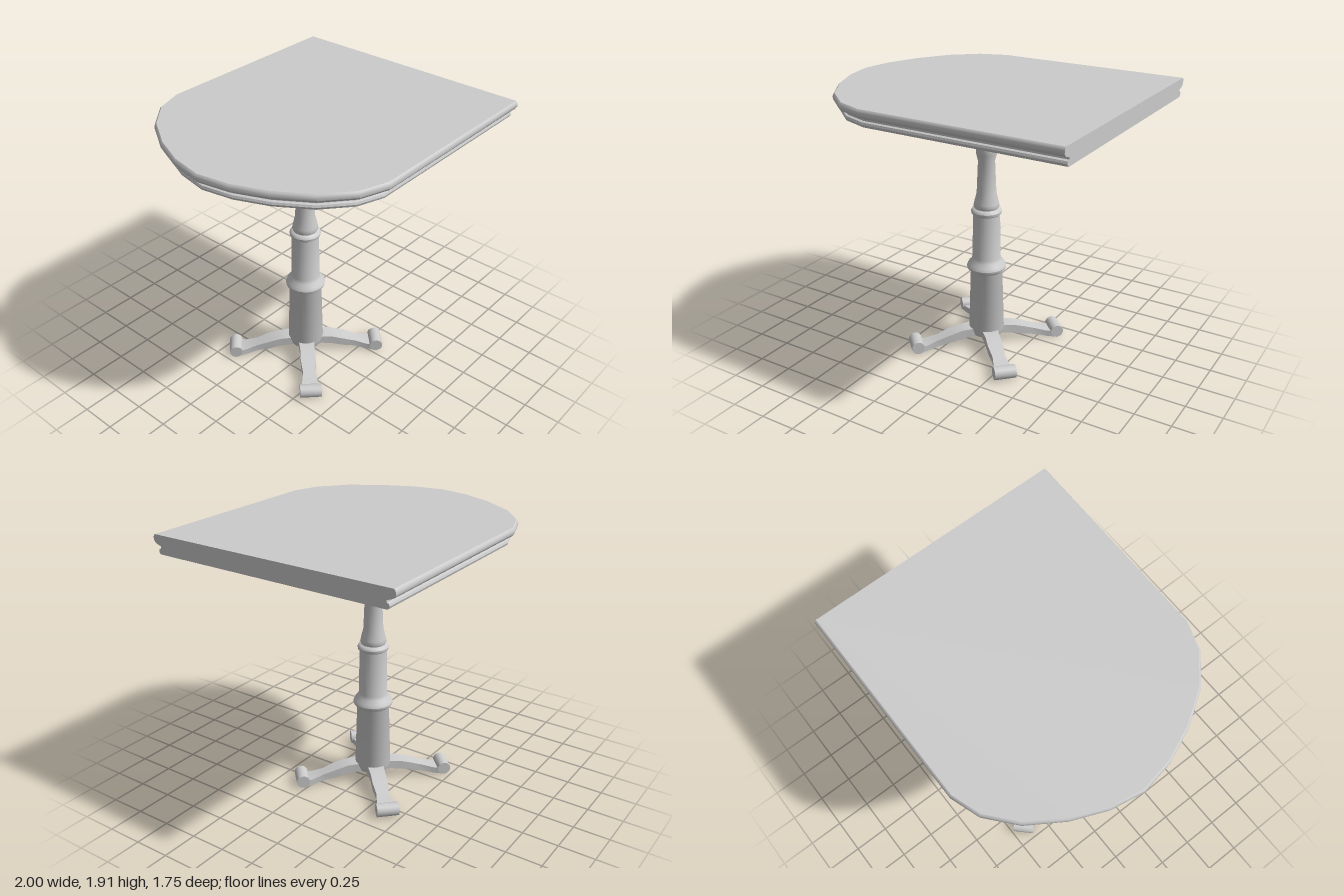
import * as THREE from 'three';
import { toCreasedNormals } from 'three/addons/utils/BufferGeometryUtils.js';

const material = new THREE.MeshStandardMaterial({ color: 0xcccccc });

function part(name, geometry, crease = 0.6) {
  const mesh = new THREE.Mesh(toCreasedNormals(geometry, crease), material);
  mesh.name = name;
  return mesh;
}

// Skin a stack of closed convex rings of [x, y, z] and cap both ends
function loft(rings) {
  const pos = [];
  const n = rings[0].length;
  const tri = (...corners) => corners.forEach((p) => pos.push(...p));
  for (let i = 0; i < rings.length - 1; i++) {
    for (let j = 0; j < n; j++) {
      const k = (j + 1) % n;
      tri(rings[i][j], rings[i][k], rings[i + 1][k]);
      tri(rings[i][j], rings[i + 1][k], rings[i + 1][j]);
    }
  }
  const first = rings[0], last = rings[rings.length - 1];
  for (let j = 1; j < n - 1; j++) {
    tri(first[0], first[j + 1], first[j]);
    tri(last[0], last[j], last[j + 1]);
  }
  const geometry = new THREE.BufferGeometry();
  geometry.setAttribute('position', new THREE.Float32BufferAttribute(pos, 3));
  return geometry;
}

// Slab with one rounded end and one square end, moulded along its rim
function tabletop() {
  const half = [[1, 0.875], [-0.36, 0.875], [-0.55, 0.81], [-0.73, 0.655], [-0.87, 0.437], [-0.96, 0.22]];
  const outline = [
    ...half.map(([x, z]) => [x, -z]),
    [-1, 0],
    ...half.slice().reverse(),
  ];
  // Inward direction at each outline point; the square end stays flush
  const inward = outline.map((p, i) => {
    if (i === 0) return [0, 1];
    if (i === outline.length - 1) return [0, -1];
    const a = outline[i - 1], b = outline[i + 1];
    const dx = b[0] - a[0], dz = b[1] - a[1], len = Math.hypot(dx, dz);
    return [dz / len, -dx / len];
  });
  // Rim moulding: [height, inset]
  const rim = [
    [1.79, 0.052], [1.796, 0.042], [1.81, 0.037], [1.823, 0.042], [1.829, 0.056],
    [1.843, 0.056], [1.85, 0.03], [1.86, 0.01], [1.875, 0], [1.893, 0], [1.905, 0.005], [1.912, 0.013],
  ];
  return loft(rim.map(([y, inset]) => outline.map(([x, z], i) =>
    [x + inward[i][0] * inset, y, z + inward[i][1] * inset])));
}

// Turned column: [radius, height]
function column() {
  const profile = [
    [0, 0.085], [0.11, 0.085], [0.126, 0.13], [0.112, 0.575], [0.12, 0.59], [0.135, 0.6], [0.138, 0.615],
    [0.128, 0.638], [0.108, 0.66], [0.099, 0.685], [0.094, 1.005], [0.104, 1.013], [0.107, 1.03],
    [0.1, 1.043], [0.083, 1.052], [0.089, 1.068], [0.085, 1.09], [0.068, 1.16], [0.058, 1.39],
    [0.07, 1.44], [0.073, 1.48], [0.068, 1.56], [0.053, 1.77],
  ].map(([r, y]) => new THREE.Vector2(r, y));
  return new THREE.LatheGeometry(profile, 28);
}

// Leg sections: [distance out, underside, upper side, half width]
function leg() {
  const sections = [
    [0, 0.085, 0.14, 0.06], [0.12, 0.08, 0.14, 0.056], [0.19, 0.068, 0.132, 0.052],
    [0.27, 0.05, 0.11, 0.054], [0.36, 0.028, 0.076, 0.044], [0.44, 0.008, 0.052, 0.056],
    [0.515, 0, 0.045, 0.074],
  ];
  return loft(sections.map(([x, lo, hi, w]) => [[x, lo, -w], [x, hi, -w], [x, hi, w], [x, lo, w]]));
}

export function createModel() {
  const table = new THREE.Group();
  table.name = 'table';
  table.add(part('tabletop', tabletop()));

  const pedestal = new THREE.Group();
  pedestal.name = 'pedestal';
  pedestal.position.set(-0.03, 0, -0.043);
  table.add(pedestal);
  pedestal.add(part('column', column()));

  // Flared collar under the top
  const collar = new THREE.CylinderGeometry(0.095, 0.065, 0.025, 24);
  pedestal.add(part('collar', collar.translate(0, 1.78, 0)));

  // Four diagonal legs, each ending in a scrolled foot
  for (let i = 0; i < 4; i++) {
    const arm = new THREE.Group();
    arm.name = 'legAssembly';
    arm.rotation.y = Math.PI / 4 + i * Math.PI / 2;
    const foot = new THREE.CylinderGeometry(0.046, 0.046, 0.15, 18);
    foot.rotateX(Math.PI / 2).translate(0.515, 0.046, 0);
    arm.add(part('leg', leg()), part('scrollFoot', foot));
    pedestal.add(arm);
  }
  return table;
}
